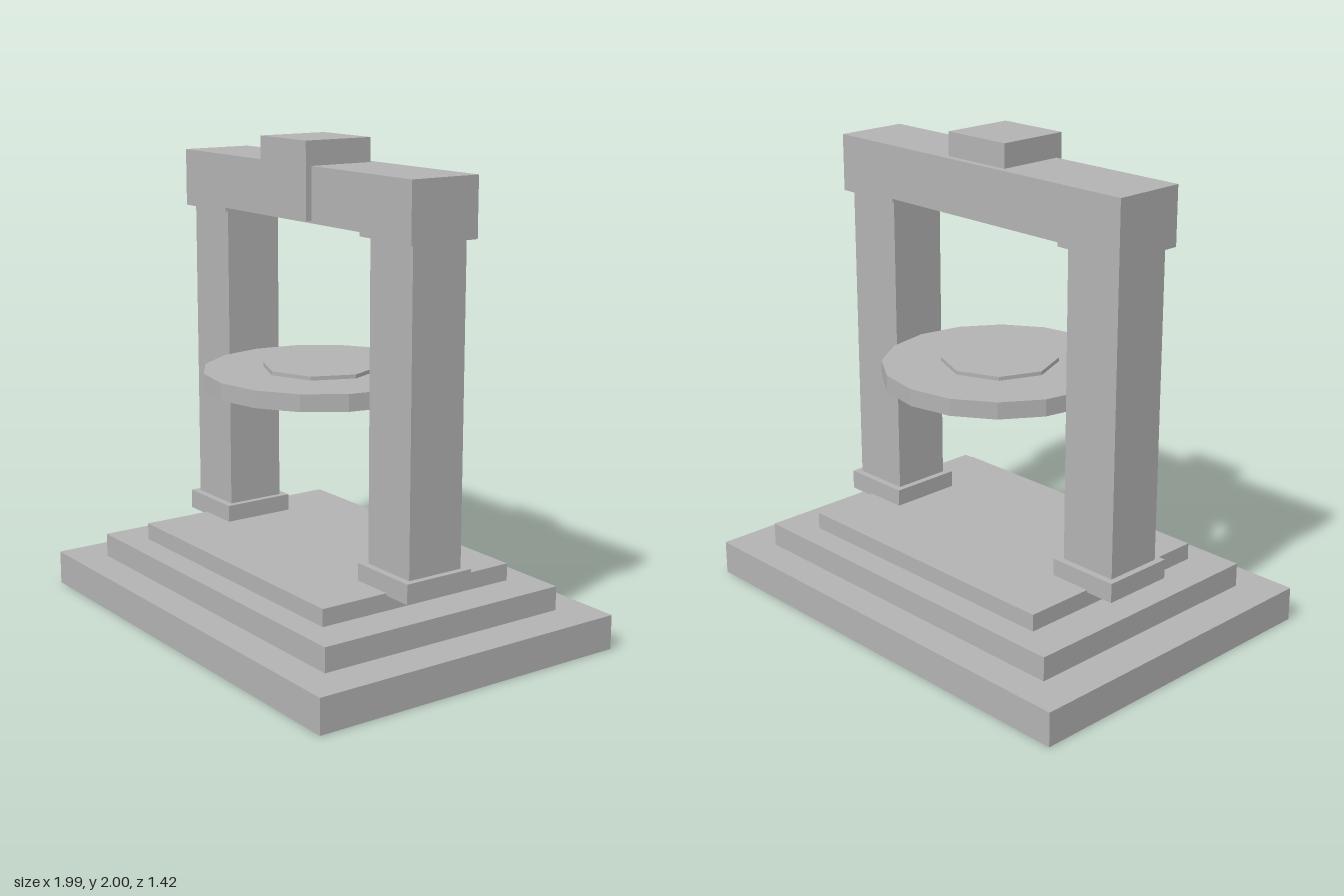
import * as THREE from 'three';

export function createModel() {
  const model = new THREE.Group();
  model.name = 'stoneGate';
  const stone = new THREE.MeshStandardMaterial({ color: 0xb2b2b2 });
  stone.name = 'stone grey';

  const add = (name, geometry, x, y, z) => {
    const mesh = new THREE.Mesh(geometry, stone);
    mesh.name = name;
    mesh.position.set(x, y, z);
    model.add(mesh);
  };
  // Box given by its width, depth and bottom / top heights
  const block = (name, w, d, y0, y1, x = 0, z = 0) =>
    add(name, new THREE.BoxGeometry(w, y1 - y0, d), x, (y0 + y1) / 2, z);
  // Faceted disc with a corner on each axis
  const disc = (name, r, sides, y0, y1) => {
    const geometry = new THREE.CylinderGeometry(r, r, y1 - y0, sides).toNonIndexed();
    geometry.computeVertexNormals();
    add(name, geometry, 0, (y0 + y1) / 2, 0);
  };

  // Stepped base
  block('lowerStep', 1.986, 1.42, 0, 0.143);
  block('middleStep', 1.644, 1.134, 0.143, 0.243);
  block('upperStep', 1.304, 0.91, 0.243, 0.314);

  // Pillars with their plinths and capitals
  for (const [side, s] of [['left', 1], ['right', -1]]) {
    block(side + 'Plinth', 0.31, 0.312, 0.304, 0.385, s * 0.624);
    block(side + 'Pillar', 0.256, 0.252, 0.385, 1.664, s * 0.624);
    block(side + 'Capital', 0.31, 0.312, 1.664, 1.68, s * 0.624);
  }

  // Lintel and keystone
  block('lintel', 1.558, 0.312, 1.68, 1.902);
  block('keystone', 0.314, 0.31, 1.69, 2, 0, 0.028);

  // Floating disc with a thicker octagonal hub
  disc('floatingDisc', 0.483, 16, 0.99, 1.06);
  disc('discHub', 0.24, 8, 0.976, 1.076);

  return model;
}
